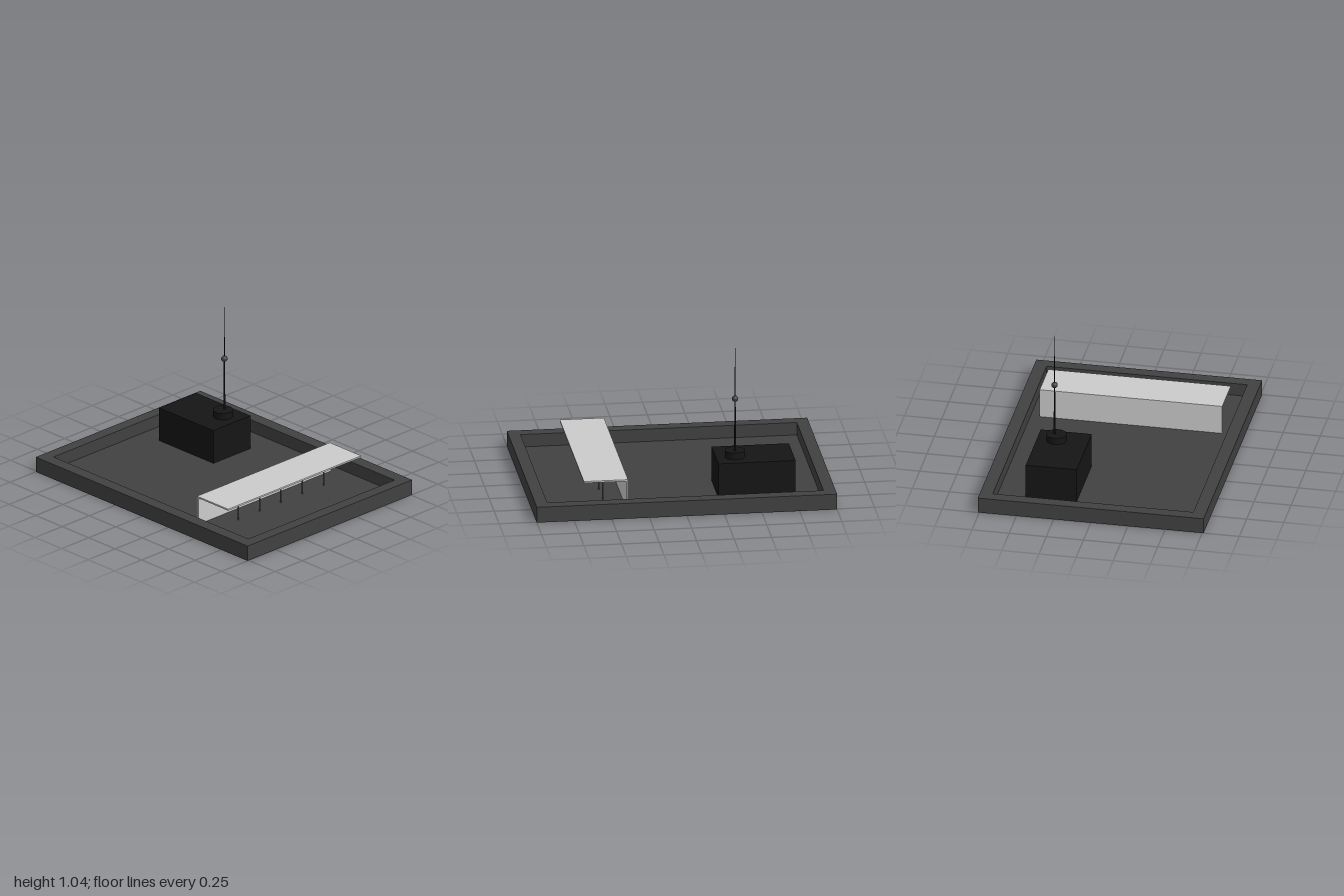
import * as THREE from 'three';

const material = (color) => new THREE.MeshStandardMaterial({ color });

export function createModel() {
  const model = new THREE.Group();
  model.name = 'rooftop';
  const slate = material(0x414141);
  const black = material(0x151515);
  const pale = material(0xcccccc);
  const steel = material(0x606060);

  const add = (name, geometry, mat, x, y, z, parent = model) => {
    const mesh = new THREE.Mesh(geometry, mat);
    mesh.name = name;
    mesh.position.set(x, y, z);
    parent.add(mesh);
    return mesh;
  };
  // box given by its lower and upper corners
  const block = (name, a, b, mat, parent) => add(name,
    new THREE.BoxGeometry(b[0] - a[0], b[1] - a[1], b[2] - a[2]), mat,
    (a[0] + b[0]) / 2, (a[1] + b[1]) / 2, (a[2] + b[2]) / 2, parent);
  const rectangle = (path, w, d) => path.moveTo(-w, -d).lineTo(w, -d).lineTo(w, d).lineTo(-w, d).closePath();

  // Roof: low floor with a raised rim around it
  const rim = rectangle(new THREE.Shape(), 1, 0.76);
  rim.holes.push(rectangle(new THREE.Path(), 0.92, 0.675));
  const rimGeometry = new THREE.ExtrudeGeometry(rim, { depth: 0.107, bevelEnabled: false });
  rimGeometry.rotateX(-Math.PI / 2);
  add('parapet', rimGeometry, slate, 0, 0, 0);
  block('roofFloor', [-0.92, 0, -0.675], [0.92, 0.02, 0.675], slate);

  // Equipment housing
  block('housing', [-0.76, 0.02, -0.485], [-0.245, 0.257, -0.142], black);

  // Antenna on its round base
  const antenna = new THREE.Group();
  antenna.name = 'antenna';
  antenna.position.set(-0.372, 0, -0.367);
  model.add(antenna);
  add('antennaBase', new THREE.CylinderGeometry(0.067, 0.067, 0.046, 24), black, 0, 0.28, 0.013, antenna);
  add('mast', new THREE.CylinderGeometry(0.001, 0.007, 0.74, 10), black, 0, 0.67, 0, antenna);
  add('antennaBall', new THREE.SphereGeometry(0.021, 20, 14), slate, 0, 0.667, 0, antenna);

  // Canopy: back panel, flat cover and a row of posts
  const canopy = new THREE.Group();
  canopy.name = 'canopy';
  model.add(canopy);
  block('canopyTop', [0.373, 0.21, -0.614], [0.667, 0.221, 0.614], pale, canopy);
  block('canopyPanel', [0.373, 0.02, -0.614], [0.385, 0.21, 0.614], pale, canopy);
  for (let i = -2; i <= 2; i++) {
    add('post', new THREE.CylinderGeometry(0.005, 0.005, 0.19, 10), steel, 0.515, 0.115, -0.022 + i * 0.197, canopy);
  }
  return model;
}
